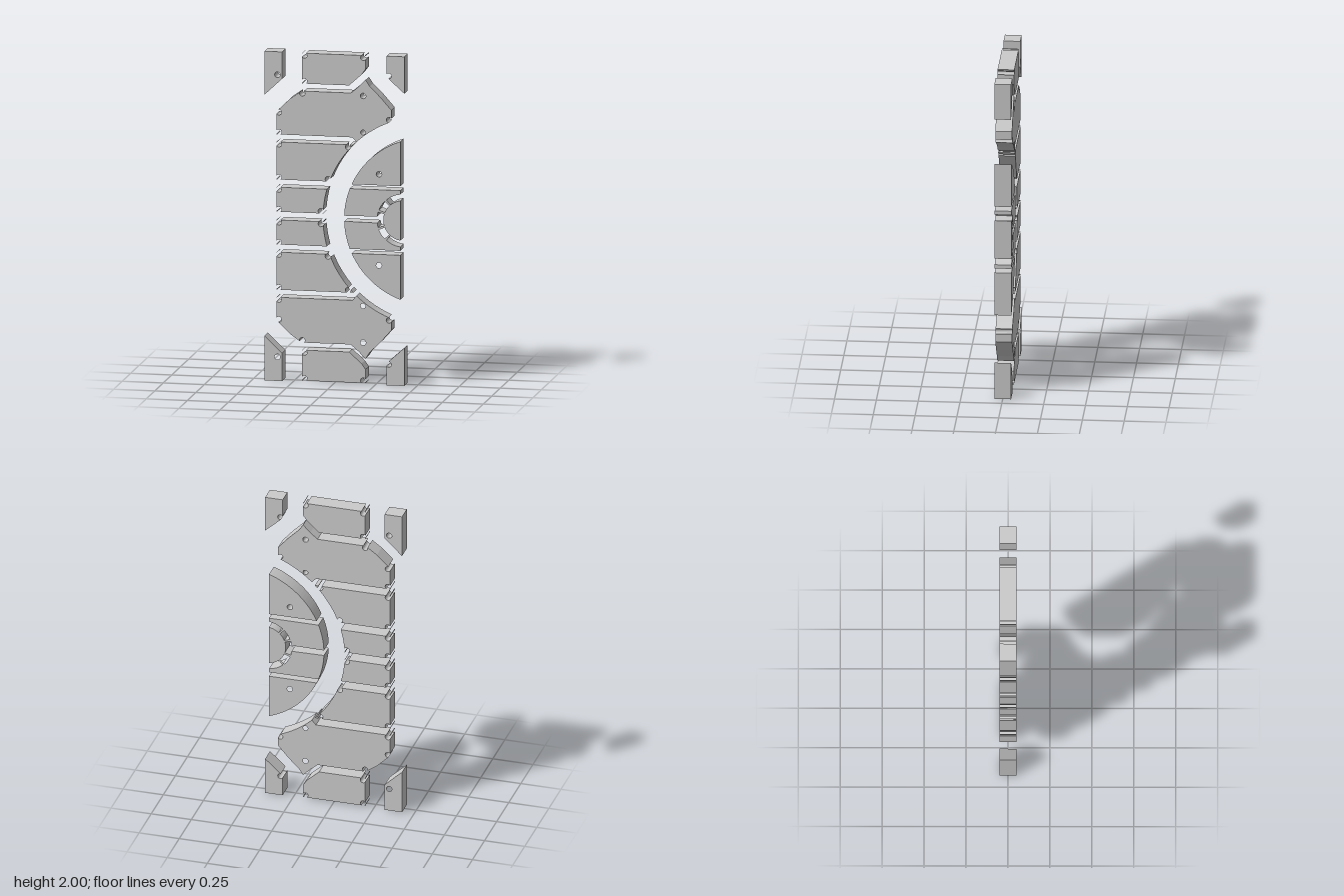
import * as THREE from 'three';

const DEPTH = 0.1;
const MID = 1.003;                 // height of the mirror line
const BIG = { x: 0.568, y: MID };  // centre of the large arcs
const R_IN = 0.508, R_OUT = 0.637; // half disc edge, inner edge of surround
const HUB = { x: 0.42, y: MID };   // centre of the ring of slots
const HOLE = 0.017, INSET = 0.014; // bolt holes

const rad = THREE.MathUtils.degToRad;
const flip = ([x, y, ...rest]) => [x, y > 1.999 ? 0 : 2 * MID - y, ...rest];

// points on an arc, angles in degrees
function arc(c, r, from, to, n = 8) {
  return Array.from({ length: n + 1 }, (_, i) => {
    const a = rad(from + ((to - from) * i) / n);
    return [c.x + r * Math.cos(a), c.y + r * Math.sin(a)];
  });
}

// left-hand arc about BIG between two heights
function bigArc(r, y0, y1, n = 12) {
  const ang = (y) => 180 - THREE.MathUtils.radToDeg(Math.asin((y - MID) / r));
  return arc(BIG, r, ang(y0), ang(y1), n);
}

// outline in which corners marked [x, y, 1] are bitten out by a bolt hole;
// the tiny corner tips left outside the hole are returned too
function notched(points) {
  const outline = [], tips = [];
  points.forEach(([x, y, cut], i) => {
    const p = new THREE.Vector2(x, y);
    if (!cut) { outline.push(p); return; }
    const n = points.length;
    const toward = (q) => new THREE.Vector2(q[0], q[1]).sub(p).normalize();
    const u = toward(points[(i + n - 1) % n]), v = toward(points[(i + 1) % n]);
    const half = Math.acos(u.dot(v)) / 2;
    const bis = u.clone().add(v).normalize();
    const foot = INSET / Math.tan(half);
    const chord = Math.sqrt(HOLE * HOLE - INSET * INSET);
    const c = p.clone().addScaledVector(bis, INSET / Math.sin(half));
    const m = bis.angle();
    const turn = (dir) => {
      const d = p.clone().addScaledVector(dir, foot + chord).sub(c).angle() - m;
      return Math.atan2(Math.sin(d), Math.cos(d));
    };
    const a = turn(u), b = turn(v);
    for (let k = 0; k <= 10; k++) {
      const t = m + a + ((b - a) * k) / 10;
      outline.push(new THREE.Vector2(c.x + HOLE * Math.cos(t), c.y + HOLE * Math.sin(t)));
    }
    if (foot > chord) {
      const s = foot - chord;
      tips.push([p, p.clone().addScaledVector(u, s), p.clone().addScaledVector(v, s)]);
    }
  });
  return { outline, tips };
}

export function createModel() {
  const model = new THREE.Group();
  model.name = 'segmentedPanel';
  const material = new THREE.MeshStandardMaterial({ color: 0xcccccc });

  // one flat plate; holes are lists of points
  function plate(name, points, holes = []) {
    const { outline, tips } = notched(points);
    const shape = new THREE.Shape(outline);
    for (const h of holes) shape.holes.push(new THREE.Path(h.map(([x, y]) => new THREE.Vector2(x, y))));
    const shapes = [shape, ...tips.map((t) => new THREE.Shape(t))];
    const geo = new THREE.ExtrudeGeometry(shapes, { depth: DEPTH, bevelEnabled: false });
    geo.translate(0, 0, -DEPTH / 2);
    const mesh = new THREE.Mesh(geo, material);
    mesh.name = name;
    model.add(mesh);
  }

  // an upper plate and its mirror image below
  function pair(name, points, holes = []) {
    plate('upper' + name, points, holes);
    plate('lower' + name, points.map(flip).reverse(), holes.map((h) => h.map(flip)));
  }

  const bolt = (x, y, r = HOLE) => arc({ x, y }, r, 0, 345, 23);

  // corner blocks
  pair('RightCorner', [[-0.426, 2], [-0.318, 2], [-0.318, 1.836], [-0.426, 1.735]], [bolt(-0.346, 1.86)]);
  pair('LeftCorner', [[0.317, 2], [0.426, 2], [0.426, 1.776], [0.317, 1.873, 1]]);

  // end caps
  pair('EndCap', [[-0.197, 1.998, 1], [0.19, 1.998, 1], [0.19, 1.915], [0.165, 1.88], [0.09, 1.813], [-0.197, 1.813, 1]]);

  // wide shoulder plates
  pair('Shoulder', [
    [-0.2, 1.767, 1], [0.1, 1.767], [0.145, 1.805], [0.19, 1.85], [0.215, 1.812], [0.28, 1.748], [0.347, 1.672],
    [0.347, 1.603, 1], ...bigArc(R_OUT, 1.592, 1.47), [0.11, 1.498],
    [-0.352, 1.498, 1], [-0.352, 1.638, 1], [-0.27, 1.717],
  ], [bolt(0.175, 1.752), bolt(0.175, 1.53, 0.015)]);

  // side plates following the large arc
  const sidePlate = (top, bottom, topCut) => {
    const edge = bigArc(R_OUT, top, bottom, 6);
    edge[0].push(topCut);
    edge[6].push(1);
    return [[-0.352, top, 1], ...edge, [-0.352, bottom, 1]];
  };
  pair('SidePlate', sidePlate(1.452, 1.224, 1));
  pair('SmallSidePlate', sidePlate(1.177, 1.028, 0));

  // outer parts of the half disc
  const right = 0.402;
  pair('DiscSegment', [[right, 1.213], ...bigArc(R_IN, 1.213, 1.483, 20)], [bolt(0.272, 1.28)]);

  // middle of the half disc: two arms joined to a hub by bridges between slots
  const inner = 0.122, outer = 0.16;
  const half = [
    ...arc(HUB, inner, 180, 163, 4), ...arc(HUB, outer, 163, 173, 3),
    ...bigArc(R_IN, MID + 0.017, 1.186), [right, 1.186],
    ...arc(HUB, outer, 96.5, 130), ...arc(HUB, inner, 130, 98.5),
  ];
  const slot = [...arc(HUB, outer, 135, 158), ...arc(HUB, inner, 158, 135)];
  plate('discMiddle', [...half, ...half.slice(1).map(flip).reverse()], [slot, slot.map(flip)]);

  return model;
}
